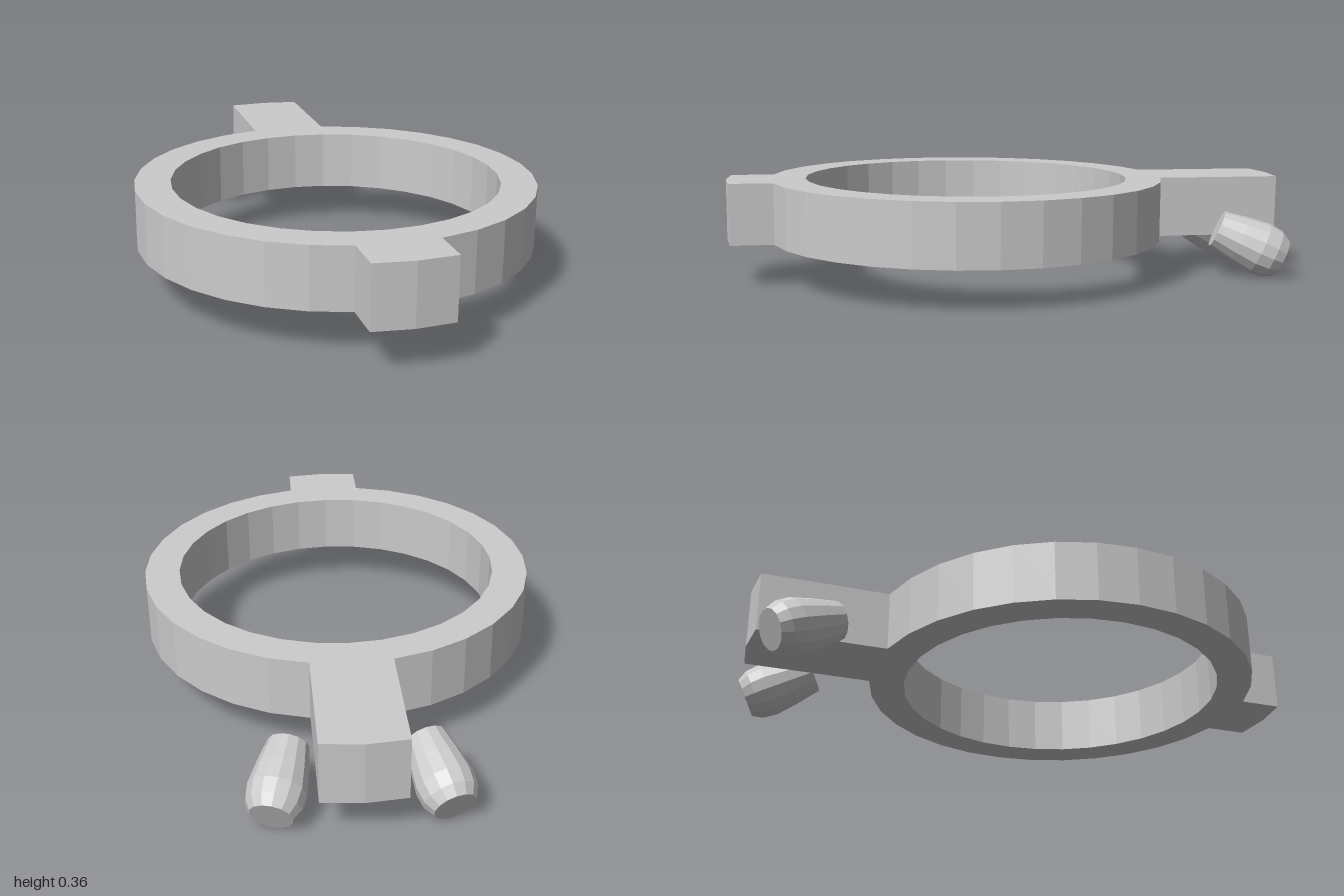
import * as THREE from 'three';

const SEGMENTS = 32, OUTER = 0.70, INNER = 0.575, CENTRE_Z = 0.145;
const BASE = 0.143, HEIGHT = 0.213;

const material = new THREE.MeshStandardMaterial({ color: 0xcccccc, flatShading: true });

// Faceted ring whose front and back facets are pulled out into tabs
function ringGeometry() {
  const outline = [];
  const add = (x, z) => outline.push(new THREE.Vector2(x, -z)); // shape y becomes -z
  const pull = (start, shift) => {
    // two facets (three corners) moved straight out by shift
    const corners = [0, 1, 2].map(k => corner(start + k, OUTER));
    add(...corners[0]);
    corners.forEach(([x, z]) => add(x, z + shift));
    add(...corners[2]);
  };
  const corner = (i, r) => {
    const a = i / SEGMENTS * Math.PI * 2;
    return [r * Math.cos(a), CENTRE_Z - r * Math.sin(a)];
  };
  for (let i = 0; i < SEGMENTS; i++) {
    if (i === 7) { pull(i, -0.445); i += 2; }       // long back tab
    else if (i === 23) { pull(i, 0.15); i += 2; }   // short front tab
    else add(...corner(i, OUTER));
  }
  const shape = new THREE.Shape(outline);
  const hole = [];
  for (let i = 0; i < SEGMENTS; i++) {
    const [x, z] = corner(i, INNER);
    hole.push(new THREE.Vector2(x, -z));
  }
  shape.holes.push(new THREE.Path(hole));
  return new THREE.ExtrudeGeometry(shape, { depth: HEIGHT, bevelEnabled: false })
    .rotateX(-Math.PI / 2).translate(0, BASE, 0);
}

// Barrel-shaped peg running from the front end to the lower back end
function makePeg(side) {
  const front = new THREE.Vector3(side * 0.215, 0.178, -0.735);
  const back = new THREE.Vector3(side * 0.28, 0.076, -0.957);
  const axis = back.clone().sub(front);
  const length = axis.length();
  const profile = [[0, 0], [0.068, 0], [0.085, 0.35], [0.096, 0.66], [0.09, 0.86], [0.07, 1], [0, 1]]
    .map(([r, t]) => new THREE.Vector2(r, t * length));
  const peg = new THREE.Mesh(new THREE.LatheGeometry(profile, 14), material);
  peg.name = side > 0 ? 'leftPeg' : 'rightPeg';
  peg.position.copy(front);
  peg.quaternion.setFromUnitVectors(new THREE.Vector3(0, 1, 0), axis.normalize());
  return peg;
}

export function createModel() {
  const model = new THREE.Group();
  model.name = 'ringWithPegs';
  const ring = new THREE.Mesh(ringGeometry(), material);
  ring.name = 'tabbedRing';
  model.add(ring, makePeg(1), makePeg(-1));
  // The whole piece leans very slightly
  model.rotation.set(-0.006, 0, -0.008);
  return model;
}
